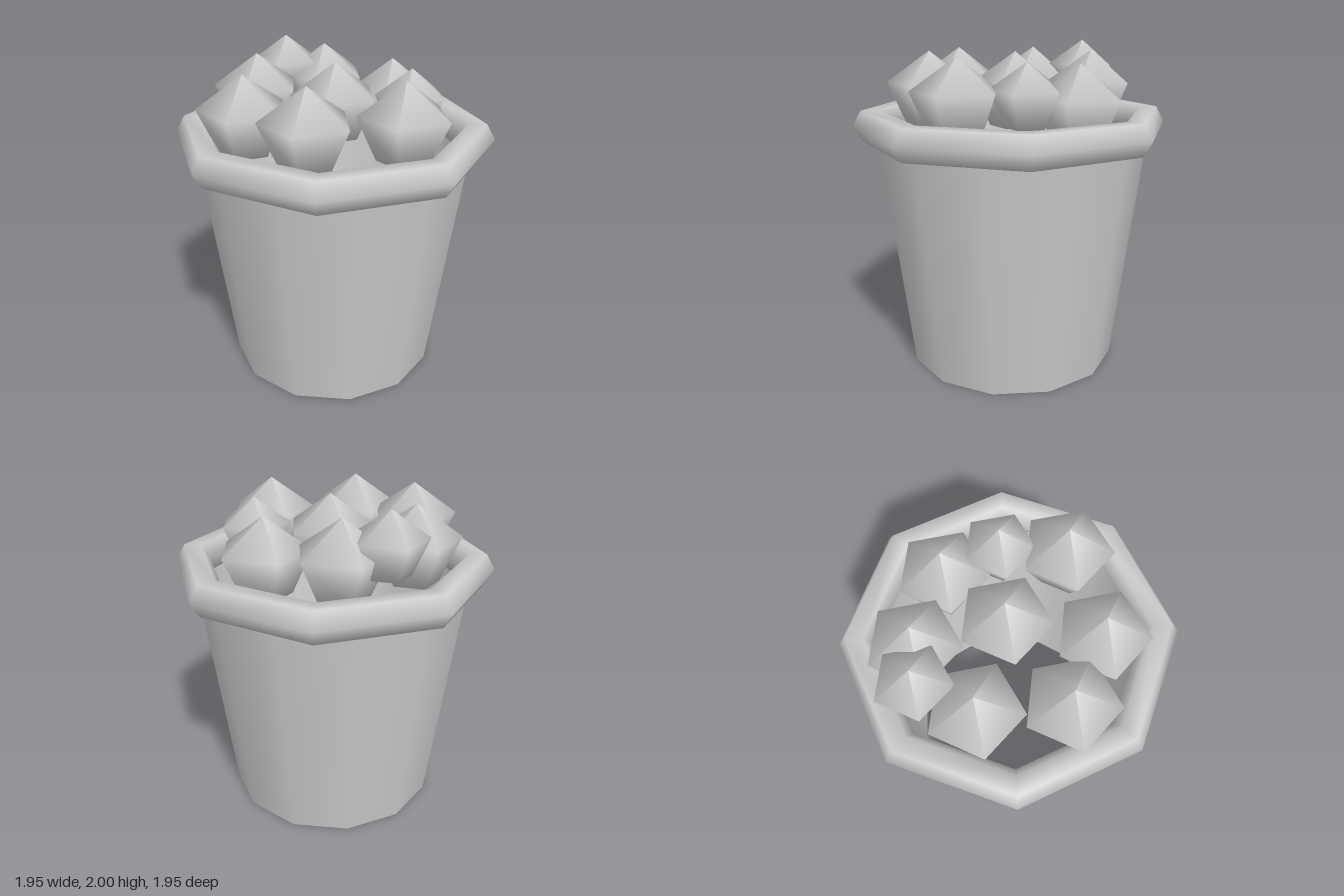
import * as THREE from 'three';

const SIDES = 12;
const flat = Math.cos(Math.PI / SIDES); // flat-to-corner ratio of the bucket

export function createModel() {
  const group = new THREE.Group();
  const grey = new THREE.MeshStandardMaterial({ color: 0xcccccc });
  const greyOpen = new THREE.MeshStandardMaterial({ color: 0xcccccc, side: THREE.DoubleSide });

  const add = (name, geometry, material, x, y, z) => {
    const mesh = new THREE.Mesh(geometry, material);
    mesh.name = name;
    mesh.position.set(x, y, z);
    group.add(mesh);
    return mesh;
  };

  // Tapered bucket wall, open at both ends, flats facing the axes
  const wall = new THREE.CylinderGeometry(0.81 / flat, 0.635 / flat, 1.51, SIDES, 1, true, Math.PI / SIDES);
  add('bucketWall', wall, greyOpen, 0, 0.755, 0);

  // Chunky octagonal rim with a six-sided section
  const rim = new THREE.TorusGeometry(0.866, 0.107, 6, 8).rotateX(Math.PI / 2);
  add('rim', rim, grey, 0, 1.51, 0).rotation.y = 0.016;

  // Five-sided lump: shallow peak, wide ring, narrow base; origin at the peak
  const profile = [[0, -0.45], [0.155, -0.45], [0.27, -0.192], [0, 0]]
    .map(([r, y]) => new THREE.Vector2(r, y));
  const lump = new THREE.LatheGeometry(profile, 5, THREE.MathUtils.degToRad(-8));

  // Heap of lumps: peak x, y, z and scale
  const heap = [
    [0.01, 1.95, -0.02, 1],
    [-0.47, 1.95, 0.31, 1],
    [-0.09, 1.95, 0.50, 1],
    [0.43, 1.95, 0.34, 1],
    [0.34, 1.90, -0.36, 1],
    [-0.11, 1.95, -0.51, 1],
    [-0.49, 1.95, -0.19, 1],
    [-0.36, 2.00, -0.50, 0.8],
    [0.46, 1.92, -0.04, 0.8],
  ];
  heap.forEach(([x, y, z, s], i) => {
    add(`lump${i + 1}`, lump, grey, x, y, z).scale.setScalar(s);
  });

  return group;
}
